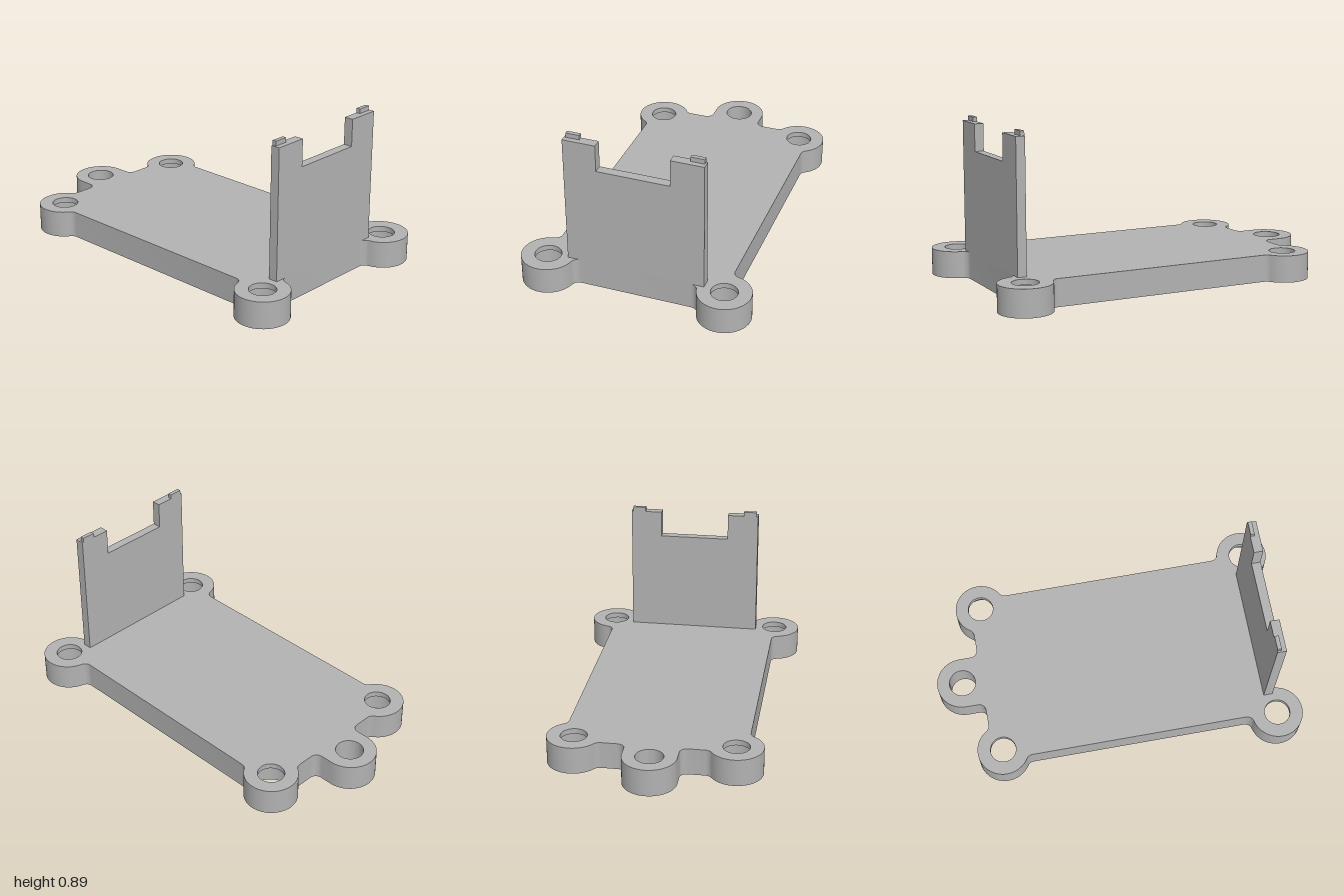
import * as THREE from 'three';
import { toCreasedNormals } from 'three/addons/utils/BufferGeometryUtils.js';

const TOP = 0.148, LEDGE = 0.03;        // plate height, thickness above each counterbore
const LUG = 0.143, FILLET = 0.04;       // lug and fillet radii
const HOLE = 0.071, BORE = 0.116;
const EAST = 0.853, WEST = -0.75, SIDE = 0.483;
const V = (x, y) => new THREE.Vector2(x, y);
const rearLug = V(0.857, 0.485), frontLug = V(-0.69, 0.425), endLug = V(-0.857, 0);

// Points along an arc; dir is +1 for counterclockwise, -1 for clockwise
function arc(c, r, a0, a1, dir) {
  const full = Math.PI * 2;
  const sweep = ((((a1 - a0) * dir) % full) + full) % full;
  const n = Math.max(8, Math.ceil(sweep / 0.12));
  return Array.from({ length: n + 1 }, (_, i) => {
    const a = a0 + (dir * sweep * i) / n;
    return V(c.x + r * Math.cos(a), c.y + r * Math.sin(a));
  });
}
const angle = (from, to) => Math.atan2(to.y - from.y, to.x - from.x);

// Centre of the fillet between a lug and a straight edge
const reach = (d) => Math.sqrt((LUG + FILLET) ** 2 - d * d);
const besideX = (lug, x) => V(x, lug.y - reach(x - lug.x));
const besideY = (lug, y, side) => V(lug.x + side * reach(y - lug.y), y);

function plateOutline() {
  const a = besideX(rearLug, EAST + FILLET);
  const b = besideY(rearLug, SIDE + FILLET, -1);
  const c = besideY(frontLug, SIDE + FILLET, 1);
  const d = besideX(frontLug, WEST - FILLET);
  const e = V(WEST - FILLET, LUG + FILLET);
  const half = [
    ...arc(a, FILLET, Math.PI, angle(a, rearLug), -1),
    ...arc(rearLug, LUG, angle(rearLug, a), angle(rearLug, b), 1).slice(1),
    ...arc(b, FILLET, angle(b, rearLug), -Math.PI / 2, -1).slice(1),
    ...arc(c, FILLET, -Math.PI / 2, angle(c, frontLug), -1),
    ...arc(frontLug, LUG, angle(frontLug, c), angle(frontLug, d), 1).slice(1),
    ...arc(d, FILLET, angle(d, frontLug), 0, -1).slice(1),
    ...arc(e, FILLET, 0, -Math.PI / 2, -1),
    ...arc(endLug, LUG, Math.PI / 2, Math.PI, 1),
  ];
  const mirrored = half.slice(0, -1).reverse().map((p) => V(p.x, -p.y));
  return [...half, ...mirrored];
}

export function createModel() {
  const group = new THREE.Group();
  const grey = new THREE.MeshStandardMaterial({ color: 0xb2b2b2 });
  grey.name = 'grey';
  const add = (name, geometry) => {
    const mesh = new THREE.Mesh(toCreasedNormals(geometry, 0.5), grey);
    mesh.name = name;
    group.add(mesh);
    return mesh;
  };

  // Base plate with four wide bores and one plain hole
  const corners = [rearLug, frontLug].flatMap((p) => [p, V(p.x, -p.y)]);
  const plate = new THREE.Shape(plateOutline());
  const cut = (c, r) => plate.holes.push(
    new THREE.Path(arc(c, r, 0, Math.PI * 2 - 1e-6, 1).slice(0, -1)));
  corners.forEach((c) => cut(c, BORE));
  cut(endLug, 0.074);
  const plateGeo = new THREE.ExtrudeGeometry(plate, { depth: TOP, bevelEnabled: false });
  plateGeo.rotateX(Math.PI / 2).translate(0, TOP, 0);
  add('basePlate', plateGeo);

  // Thin ring closing the top of each bore down to the screw hole
  const steps = Math.ceil((Math.PI * 2) / 0.12);
  const ring = [V(BORE, TOP), V(HOLE, TOP), V(HOLE, TOP - LEDGE), V(BORE, TOP - LEDGE)];
  corners.forEach((c) => {
    const geo = new THREE.LatheGeometry(ring, steps, Math.PI / 2);
    add('screwSeat', geo.translate(c.x, 0, c.y));
  });

  // Notched upright wall, drawn in z and y
  const wall = new THREE.Shape([
    V(-0.375, TOP), V(0.375, TOP), V(0.375, 0.865), V(0.197, 0.865),
    V(0.197, 0.717), V(-0.197, 0.717), V(-0.197, 0.865), V(-0.375, 0.865),
  ]);
  const wallGeo = new THREE.ExtrudeGeometry(wall, { depth: EAST - 0.803, bevelEnabled: false });
  add('endWall', wallGeo.rotateY(Math.PI / 2).translate(0.803, 0, 0));

  // Small locating tabs on top of the wall
  for (const s of [1, -1]) {
    const tab = new THREE.BoxGeometry(0.022, 0.025, 0.074);
    add('tab', tab.translate(0.814, 0.8775, s * 0.329));
  }
  return group;
}
